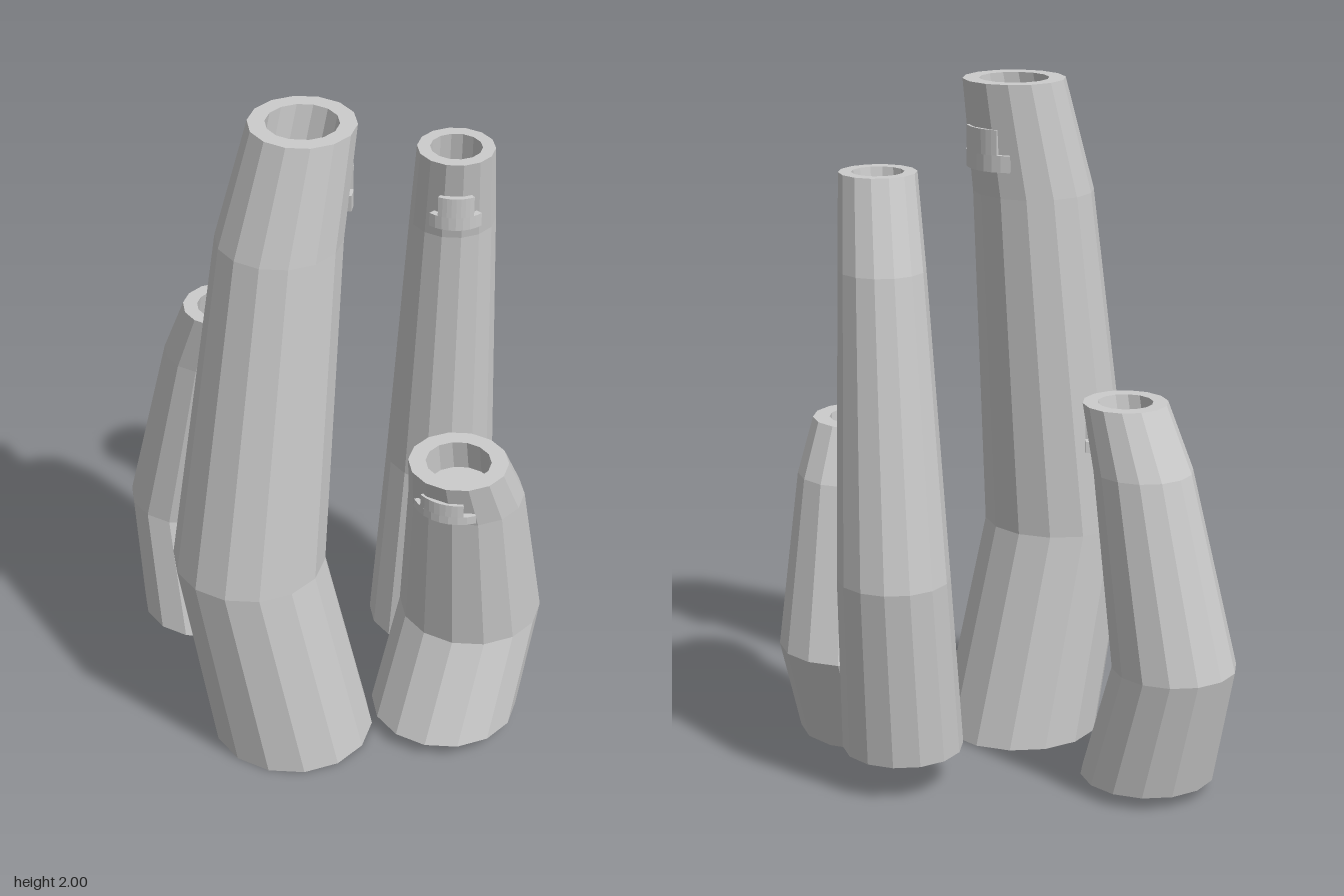
import * as THREE from 'three';

const SIDES = 14;
const material = new THREE.MeshStandardMaterial({ color: 0xcccccc, flatShading: true });

// Skin a list of rings [y, x, z, radius] from the bottom up
function skinRings(rings) {
  const pos = [], index = [];
  for (const [y, x, z, r] of rings) {
    for (let i = 0; i < SIDES; i++) {
      const a = (i / SIDES) * Math.PI * 2;
      pos.push(x + r * Math.sin(a), y, z + r * Math.cos(a));
    }
  }
  for (let k = 0; k < rings.length - 1; k++) {
    for (let i = 0; i < SIDES; i++) {
      const j = (i + 1) % SIDES;
      const a = k * SIDES + i, b = k * SIDES + j;
      const c = a + SIDES, d = b + SIDES;
      if (rings[k][3] > 0) index.push(a, b, d);
      if (rings[k + 1][3] > 0) index.push(a, d, c);
      else if (rings[k][3] > 0) continue;
    }
  }
  const geo = new THREE.BufferGeometry();
  geo.setAttribute('position', new THREE.Float32BufferAttribute(pos, 3));
  geo.setIndex(index);
  const flat = geo.toNonIndexed();
  flat.computeVertexNormals();
  return flat;
}

// Upright curved slab, facing the given angle
function arcSlab(inner, outer, angle, half, height) {
  const shape = new THREE.Shape();
  shape.absarc(0, 0, outer, angle - half, angle + half, false);
  shape.absarc(0, 0, inner, angle + half, angle - half, true);
  shape.closePath();
  const geo = new THREE.ExtrudeGeometry(shape, { depth: height, bevelEnabled: false, curveSegments: 4 });
  return geo.rotateX(-Math.PI / 2);
}

function createVent({ name, rings, hole, lipDrop, lipHeight }) {
  const group = new THREE.Group();
  group.name = name;
  const [y0, x0, z0] = rings[0];
  const [, sx, sz] = rings[rings.length - 2];
  const [ty, tx, tz, tr] = rings[rings.length - 1];
  const lean = new THREE.Vector2(tx - sx, tz - sz).normalize();

  // Bent pipe with closed base, flat rim and sunken mouth
  const fx = tx - lean.x * tr * 0.15, fz = tz - lean.y * tr * 0.15, fy = ty - 0.1;
  const pipe = new THREE.Mesh(skinRings([
    [y0, x0, z0, 0], ...rings,
    [ty, tx, tz, hole], [fy, fx, fz, hole], [fy, fx, fz, 0],
  ]), material);
  pipe.name = 'pipe';
  group.add(pipe);

  // Stepped lip hanging below the rim on the leaning side
  const angle = Math.atan2(-lean.y, lean.x);
  const step = lipHeight * 0.4;
  [[0, step, 0.8], [step, lipHeight - step, 0.52]].forEach(([dy, h, half], i) => {
    const lip = new THREE.Mesh(arcSlab(tr * 0.75, tr * 0.93, angle, half, h), material);
    lip.position.set(tx, ty - lipDrop + dy, tz);
    lip.name = i ? 'lipUpper' : 'lipLower';
    group.add(lip);
  });
  return group;
}

// Rings are [y, x, z, radius]: base, knee, shoulder, rim
const VENTS = [
  {
    name: 'tallVent', hole: 0.1, lipDrop: 0.25, lipHeight: 0.12,
    rings: [[0, 0, 0.235, 0.24], [0.65, -0.11, 0.295, 0.22], [1.67, -0.045, 0.19, 0.175], [2, 0.005, 0.138, 0.147]],
  },
  {
    name: 'leftRearVent', hole: 0.073, lipDrop: 0.21, lipHeight: 0.1,
    rings: [[0.115, 0.28, -0.26, 0.175], [0.66, 0.285, -0.352, 0.16], [1.53, 0.318, -0.285, 0.122], [1.79, 0.337, -0.222, 0.109]],
  },
  {
    name: 'rightRearVent', hole: 0.078, lipDrop: 0.145, lipHeight: 0.08,
    rings: [[0.04, -0.425, -0.193, 0.195], [0.4, -0.502, -0.268, 0.178], [0.97, -0.405, -0.245, 0.14], [1.155, -0.35, -0.21, 0.12]],
  },
  {
    name: 'shortVent', hole: 0.093, lipDrop: 0.125, lipHeight: 0.065,
    rings: [[0.045, 0.425, 0.062, 0.218], [0.35, 0.467, -0.055, 0.21], [0.84, 0.47, 0.06, 0.166], [0.99, 0.46, 0.13, 0.142]],
  },
];

export function createModel() {
  const model = new THREE.Group();
  model.name = 'ventCluster';
  for (const vent of VENTS) model.add(createVent(vent));
  return model;
}
